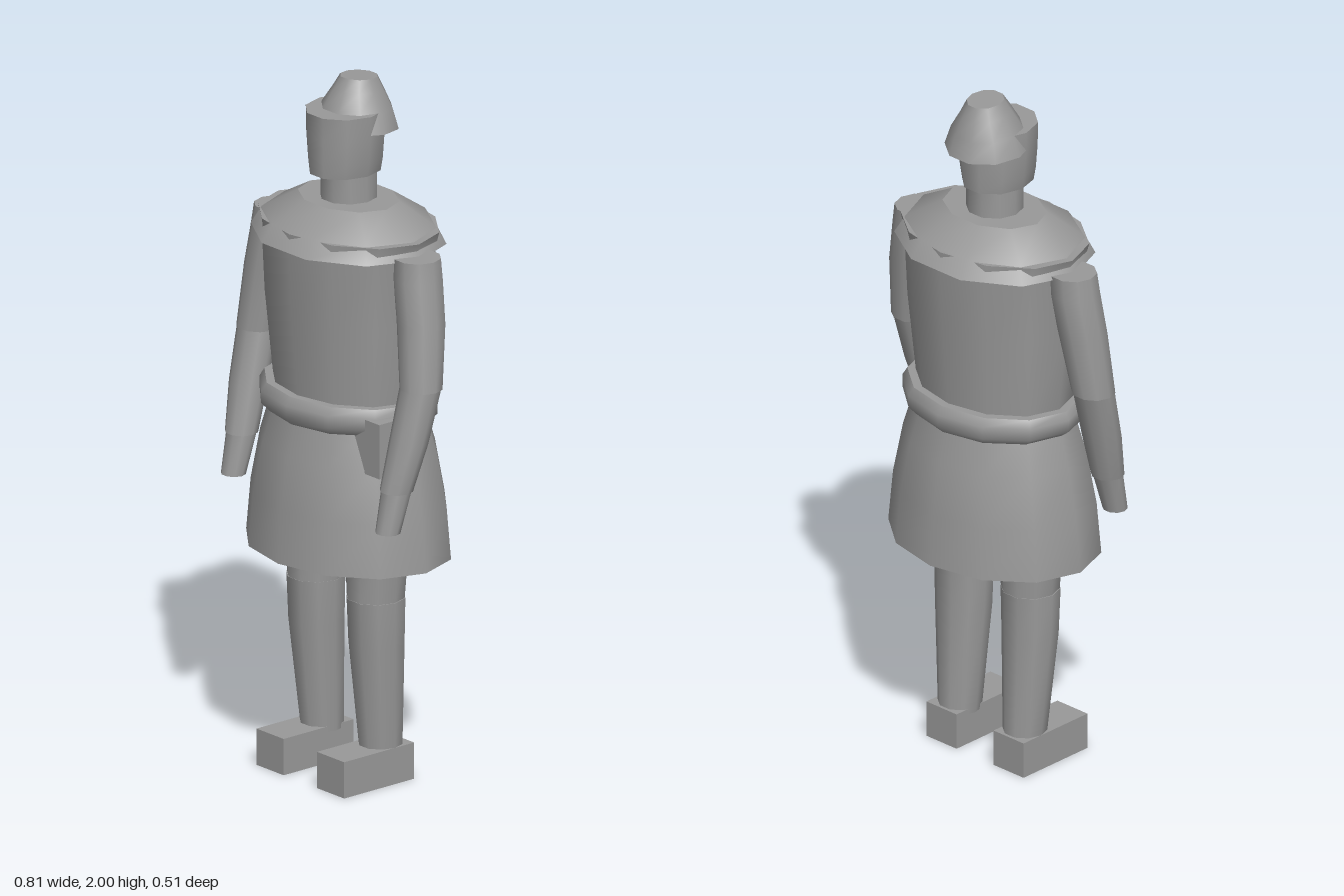
import * as THREE from 'three';

// Closed body through elliptical rings [y, rx, rz, cx, cz], listed from top to bottom.
function loft(rings, sides) {
  const rows = rings.length;
  const geo = new THREE.CylinderGeometry(1, 1, 1, sides, rows - 1, false, Math.PI / 2);
  const p = geo.attributes.position;
  for (let i = 0; i < p.count; i++) {
    const [y, rx, rz, cx = 0, cz = 0] = rings[Math.round((0.5 - p.getY(i)) * (rows - 1))];
    p.setXYZ(i, cx + p.getX(i) * rx, y, cz + p.getZ(i) * rz);
  }
  geo.computeVertexNormals();
  // smooth across the side seam
  const n = geo.attributes.normal;
  const a = new THREE.Vector3(), b = new THREE.Vector3();
  for (let r = 0; r < rows; r++) {
    const i = r * (sides + 1), j = i + sides;
    a.fromBufferAttribute(n, i).add(b.fromBufferAttribute(n, j)).normalize();
    n.setXYZ(i, a.x, a.y, a.z);
    n.setXYZ(j, a.x, a.y, a.z);
  }
  return geo;
}

export function createModel() {
  const model = new THREE.Group();
  model.name = 'figure';
  const grey = new THREE.MeshStandardMaterial({ color: 0x999999 });
  grey.name = 'plain grey';

  const add = (name, geo, parent = model) => {
    const mesh = new THREE.Mesh(geo, grey);
    mesh.name = name;
    parent.add(mesh);
    return mesh;
  };
  const box = (name, x0, x1, y0, y1, z0, z1, parent) => {
    const mesh = add(name, new THREE.BoxGeometry(x1 - x0, y1 - y0, z1 - z0), parent);
    mesh.position.set((x0 + x1) / 2, (y0 + y1) / 2, (z0 + z1) / 2);
  };

  // Clothing
  add('torso', loft([
    [1.595, 0.295, 0.214], [1.55, 0.277, 0.217], [1.35, 0.268, 0.207], [1.08, 0.24, 0.18],
  ], 12));
  add('skirt', loft([
    [1.08, 0.242, 0.182], [0.95, 0.28, 0.22], [0.8, 0.31, 0.245], [0.65, 0.325, 0.255],
  ], 12));
  add('belt', loft([
    [1.122, 0.268, 0.208], [1.1, 0.28, 0.225], [1.065, 0.28, 0.225], [1.042, 0.25, 0.205],
  ], 12));
  add('collar', loft([
    [1.66, 0.16, 0.123], [1.6, 0.27, 0.213], [1.55, 0.3, 0.246],
  ], 10));
  box('pouch', 0.17, 0.28, 0.94, 1.097, 0.03, 0.13);

  // Head
  add('neck', loft([[1.76, 0.078, 0.08], [1.58, 0.08, 0.08]], 10));
  add('head', loft([
    [1.917, 0.108, 0.115, 0, 0.012], [1.85, 0.107, 0.114, 0, 0.012],
    [1.78, 0.1, 0.112, 0, 0.012], [1.74, 0.092, 0.108, 0, 0.012],
  ], 10));
  // the hat is tipped slightly backwards
  const hat = add('hat', loft([
    [0.14, 0.05, 0.055], [0.105, 0.068, 0.075], [0.055, 0.1, 0.1], [0, 0.12, 0.12],
  ], 10));
  hat.position.set(0, 1.86, -0.027);
  hat.rotation.x = -0.07;

  // Limbs, mirrored left and right
  for (const s of [1, -1]) {
    const side = s > 0 ? 'left' : 'right';
    const arm = new THREE.Group();
    arm.name = side + 'Arm';
    add('upperArm', loft([
      [1.56, 0.068, 0.066, s * 0.292, 0.004], [1.5, 0.07, 0.07, s * 0.298, 0.006],
      [1.38, 0.069, 0.068, s * 0.32, 0.014], [1.2, 0.062, 0.059, s * 0.342, 0.033],
    ], 10), arm);
    add('forearm', loft([
      [1.215, 0.06, 0.057, s * 0.342, 0.031], [1.05, 0.057, 0.053, s * 0.336, 0.072],
      [0.915, 0.047, 0.046, s * 0.325, 0.107],
    ], 10), arm);
    add('hand', loft([
      [0.925, 0.044, 0.042, s * 0.325, 0.105], [0.8, 0.036, 0.034, s * 0.324, 0.137],
    ], 10), arm);

    const leg = new THREE.Group();
    leg.name = side + 'Leg';
    add('thigh', loft([
      [0.7, 0.093, 0.09, s * 0.127, 0.008], [0.52, 0.08, 0.081, s * 0.125, 0.01],
    ], 10), leg);
    add('shin', loft([
      [0.535, 0.083, 0.083, s * 0.126, 0.01], [0.4, 0.079, 0.079, s * 0.126, 0.008],
      [0.09, 0.06, 0.062, s * 0.123, -0.01],
    ], 10), leg);
    box('boot', s * 0.127 - 0.057, s * 0.127 + 0.057, 0, 0.105, -0.078, 0.174, leg);
    model.add(arm, leg);
  }
  return model;
}
